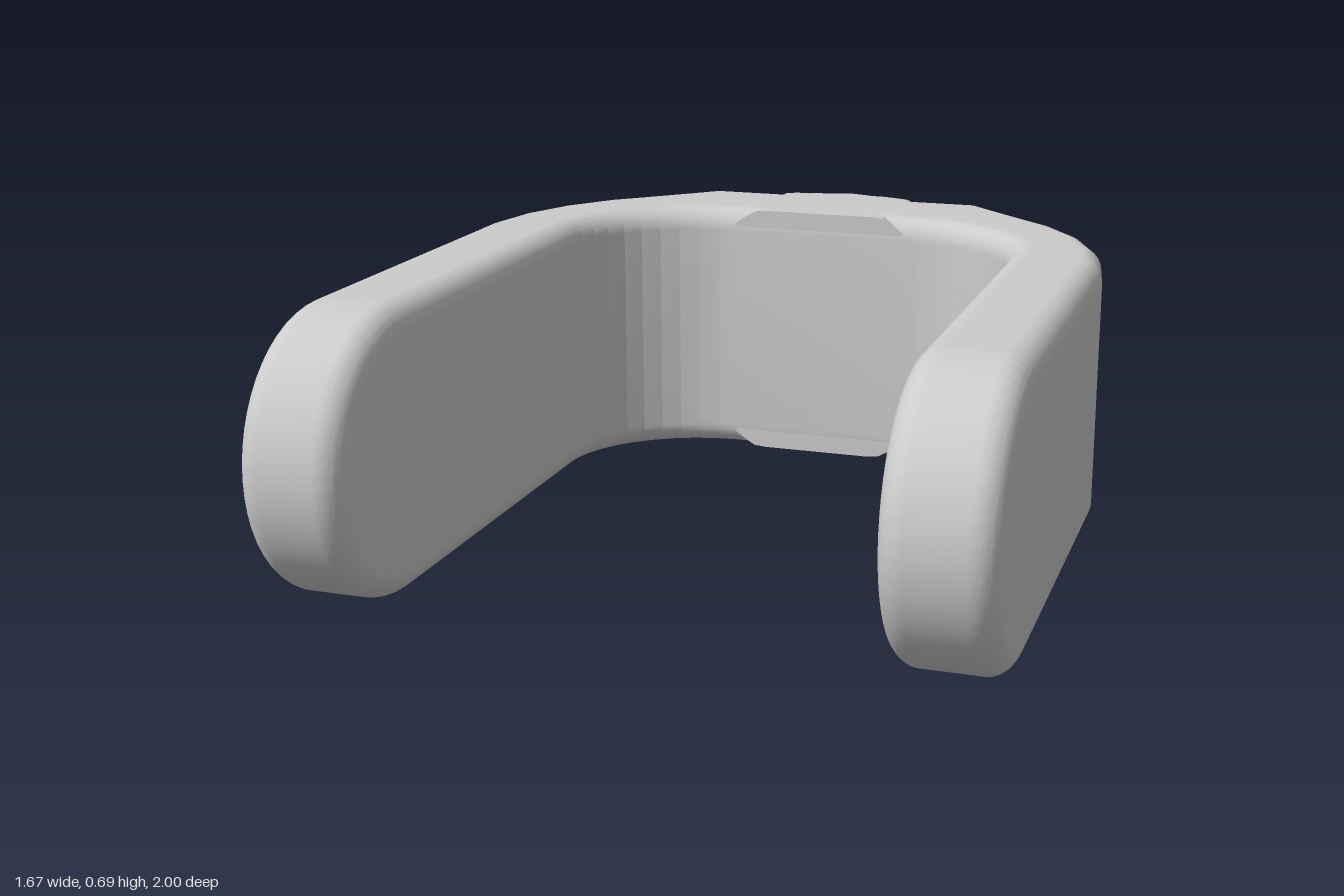
import * as THREE from 'three';
import { toCreasedNormals } from 'three/addons/utils/BufferGeometryUtils.js';

const R = 0.3425;        // half the height, and radius of the rounded tips
const FILLET = 0.06;     // edge rounding
const STEPS = 12;        // segments per fillet
const TIP_Z = 0.6575;    // where the straight arm meets its rounded tip
const OUT_X = 0.835, IN_X = 0.585;

function addMesh(group, name, geometry) {
  const material = new THREE.MeshStandardMaterial({ color: 0xcccccc });
  const mesh = new THREE.Mesh(toCreasedNormals(geometry, 0.15), material);
  mesh.name = name;
  group.add(mesh);
  return mesh;
}

// Paired outer and inner points of the U, seen from above as (x, z)
function yokeStations() {
  const outer = [[OUT_X, -0.28], [0.81, -0.44], [0.75, -0.59], [0.66, -0.72], [0.53, -0.845], [0.4, -0.97]];
  const half = [{ o: [OUT_X, TIP_Z], i: [IN_X, TIP_Z] }];
  for (let k = 0; k <= 10; k++) {
    const a = outer[Math.floor(k / 2)], b = outer[Math.ceil(k / 2)];
    const t = (k / 10) * Math.PI / 2;
    half.push({
      o: [(a[0] + b[0]) / 2, (a[1] + b[1]) / 2],
      i: [0.23 + 0.355 * Math.cos(t), -0.33 - 0.33 * Math.sin(t)],
    });
  }
  const mirrored = half.map(({ o, i }) => ({ o: [-o[0], o[1]], i: [-i[0], i[1]] })).reverse();
  return [...half, ...mirrored];
}

// Rounded rectangle of the given width, as (distance from outer wall, y)
function roundedSection(width) {
  const ring = [];
  const corners = [[1, 1], [0, 1], [0, 0], [1, 0]];
  corners.forEach(([cx, cy], q) => {
    for (let k = 0; k <= STEPS; k++) {
      const a = (q + k / STEPS) * Math.PI / 2;
      ring.push([
        (cx ? width - FILLET : FILLET) + FILLET * Math.cos(a),
        (cy ? 2 * R - FILLET : FILLET) + FILLET * Math.sin(a),
      ]);
    }
  });
  return ring;
}

// Sweep the rounded section round the U
function yokeGeometry() {
  const positions = [], index = [];
  const stations = yokeStations();
  const n = 4 * (STEPS + 1);
  stations.forEach(({ o, i }, s) => {
    const dx = i[0] - o[0], dz = i[1] - o[1], width = Math.hypot(dx, dz);
    for (const [d, y] of roundedSection(width)) {
      positions.push(o[0] + dx * d / width, y, o[1] + dz * d / width);
    }
    if (s === 0) return;
    for (let j = 0; j < n; j++) {
      const a = (s - 1) * n + j, c = (s - 1) * n + (j + 1) % n;
      index.push(a, c, a + n, c, c + n, a + n);
    }
  });
  const geometry = new THREE.BufferGeometry();
  geometry.setAttribute('position', new THREE.Float32BufferAttribute(positions, 3));
  geometry.setIndex(index);
  return geometry;
}

// Half a disc with rounded rims, its axis along x
function tipGeometry() {
  const h = (OUT_X - IN_X) / 2;
  const profile = [new THREE.Vector2(0, -h)];
  for (const side of [-1, 1]) {
    for (let k = 0; k <= STEPS; k++) {
      const a = (side < 0 ? k / STEPS - 1 : k / STEPS) * Math.PI / 2;
      profile.push(new THREE.Vector2(
        R - FILLET + FILLET * Math.cos(a),
        side * (h - FILLET) + FILLET * Math.sin(a)));
    }
  }
  profile.push(new THREE.Vector2(0, h));
  return new THREE.LatheGeometry(profile, 26, -Math.PI / 2, Math.PI).rotateZ(-Math.PI / 2);
}

// Round boss through the bridge, flared at its foot and trimmed to the yoke height
function bossGeometry() {
  const profile = [[0, -1], [R, -1], [0.347, -0.99], [0.358, -0.977], [0.385, -0.965],
    [0.385, -0.9], [0.385, -0.661], [0, -0.661]].map(([r, z]) => new THREE.Vector2(r, z));
  const geometry = new THREE.LatheGeometry(profile, 64).rotateX(Math.PI / 2);
  const p = geometry.attributes.position;
  for (let k = 0; k < p.count; k++) {
    p.setY(k, THREE.MathUtils.clamp(p.getY(k), -R, R));
  }
  return geometry;
}

export function createModel() {
  const group = new THREE.Group();
  group.name = 'clevis';
  addMesh(group, 'yoke', yokeGeometry());
  for (const side of [1, -1]) {
    const tip = addMesh(group, side > 0 ? 'leftArmTip' : 'rightArmTip', tipGeometry());
    tip.position.set(side * (OUT_X + IN_X) / 2, R, TIP_Z);
  }
  addMesh(group, 'boss', bossGeometry()).position.y = R;
  return group;
}
